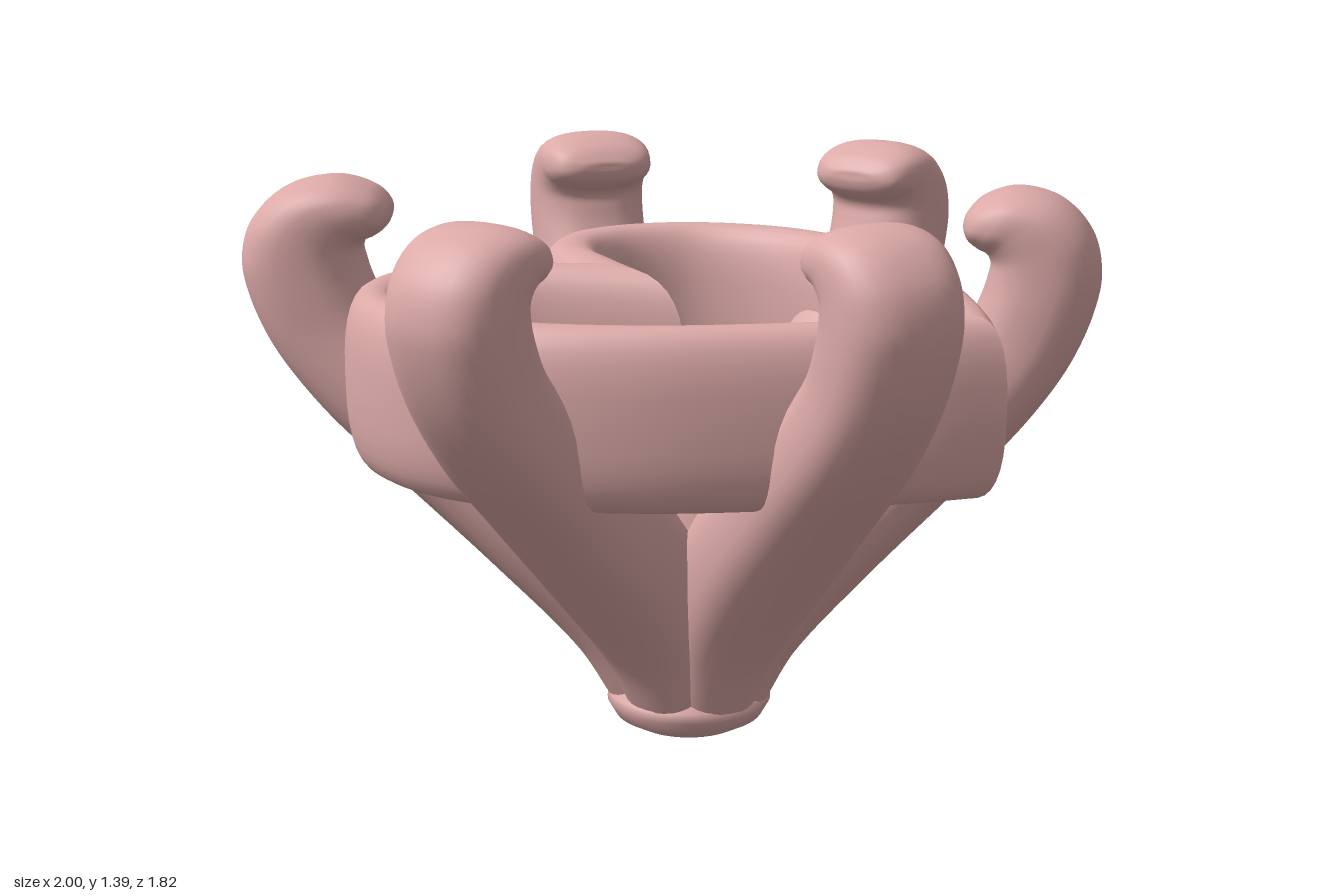
import * as THREE from 'three';

const material = new THREE.MeshStandardMaterial({ color: 0xdcaaa8 });

// Skin a list of closed cross-section rings with smooth normals
function loft(rings) {
  const n = rings[0].length;
  const positions = [], index = [];
  rings.forEach(ring => ring.forEach(p => positions.push(p.x, p.y, p.z)));
  for (let i = 0; i < rings.length - 1; i++) {
    for (let j = 0; j < n; j++) {
      const a = i * n + j, b = i * n + (j + 1) % n;
      index.push(a, b, a + n, b, b + n, a + n);
    }
  }
  const g = new THREE.BufferGeometry();
  g.setAttribute('position', new THREE.Float32BufferAttribute(positions, 3));
  g.setIndex(index);
  g.computeVertexNormals();
  return g;
}

// Rounded-square version of cos / sin
const soft = (v, power) => Math.sign(v) * Math.pow(Math.abs(v), power);

// Sample paired outer / inner curves, making one ring per step
function pairedRings(pairs, steps, sides, makePoint) {
  const outer = new THREE.CatmullRomCurve3(pairs.map(p => new THREE.Vector3(p[0], p[1], p[4] ?? 0)));
  const inner = new THREE.CatmullRomCurve3(pairs.map(p => new THREE.Vector3(p[2], p[3], 0)));
  const rings = [];
  for (let i = 0; i <= steps; i++) {
    const o = outer.getPoint(i / steps), n = inner.getPoint(i / steps);
    const ring = [];
    for (let j = 0; j < sides; j++) ring.push(makePoint(o, n, j / sides * Math.PI * 2));
    rings.push(ring);
  }
  return rings;
}

// Half of the heart band: outer x, z and inner x, z from cleft to tip
const heart = [
  [0, -0.46, 0, -0.03], [0.05, -0.51, 0.07, -0.18], [0.16, -0.63, 0.19, -0.40],
  [0.33, -0.69, 0.32, -0.51], [0.52, -0.64, 0.43, -0.51], [0.68, -0.49, 0.55, -0.42],
  [0.77, -0.24, 0.61, -0.24], [0.74, 0.01, 0.58, -0.02], [0.60, 0.28, 0.45, 0.22],
  [0.36, 0.56, 0.23, 0.46], [0.15, 0.75, 0.08, 0.60], [0, 0.86, 0, 0.67],
];

// Prong profile: outer radius, y, inner radius, y, half width
const prong = [
  [0.19, 0.08, -0.05, 0.10, 0.10], [0.27, 0.22, 0.0, 0.36, 0.14],
  [0.46, 0.44, 0.19, 0.62, 0.175], [0.67, 0.66, 0.43, 0.84, 0.17],
  [0.83, 0.83, 0.59, 0.97, 0.16], [0.94, 0.99, 0.68, 1.07, 0.15],
  [0.99, 1.12, 0.715, 1.14, 0.15], [1.0, 1.20, 0.73, 1.19, 0.15],
  [0.975, 1.29, 0.735, 1.22, 0.15], [0.90, 1.365, 0.725, 1.24, 0.15],
  [0.79, 1.39, 0.705, 1.25, 0.145], [0.71, 1.365, 0.68, 1.27, 0.12],
  [0.675, 1.33, 0.67, 1.295, 0.07], [0.67, 1.31, 0.67, 1.31, 0],
];

export function createModel() {
  const group = new THREE.Group();
  const add = (name, geometry) => {
    const mesh = new THREE.Mesh(geometry, material);
    mesh.name = name;
    group.add(mesh);
    return mesh;
  };

  // Heart band, mirrored about the cleft
  const bandGeometry = loft(pairedRings(heart, 88, 32, (o, n, a) => {
    const c = soft(Math.cos(a), 0.75) / 2;
    return new THREE.Vector3(
      Math.max(0, (o.x + n.x) / 2 + (o.x - n.x) * c),
      0.94 + 0.21 * soft(Math.sin(a), 0.75),
      (o.y + n.y) / 2 + (o.y - n.y) * c);
  }));
  add('leftHeartBand', bandGeometry);
  add('rightHeartBand', bandGeometry).scale.x = -1;

  // Six hooked prongs fanning out from the base
  const prongGeometry = loft(pairedRings(prong, 104, 32, (o, n, a) => {
    const c = soft(Math.cos(a), 0.8) / 2;
    return new THREE.Vector3(
      (o.x + n.x) / 2 + (o.x - n.x) * c,
      (o.y + n.y) / 2 + (o.y - n.y) * c,
      -o.z * soft(Math.sin(a), 0.8));
  }));
  const places = [['front', 66, 0.965], ['side', 1.3, 1], ['back', -54.8, 1.08]];
  for (const [name, degrees, reach] of places) {
    for (const side of [1, -1]) {
      const angle = side > 0 ? degrees : 180 - degrees;
      const mesh = add((side > 0 ? 'left' : 'right') + name[0].toUpperCase() + name.slice(1) + 'Prong', prongGeometry);
      mesh.rotation.y = -THREE.MathUtils.degToRad(angle);
      mesh.scale.x = reach;
    }
  }

  // Rounded foot where the prongs meet
  const foot = [[0, 0], [0.08, 0.003], [0.14, 0.015], [0.185, 0.04], [0.205, 0.075], [0.203, 0.1], [0.17, 0.13], [0, 0.15]];
  add('baseFoot', new THREE.LatheGeometry(foot.map(p => new THREE.Vector2(...p)), 48)).position.z = -0.015;

  return group;
}
